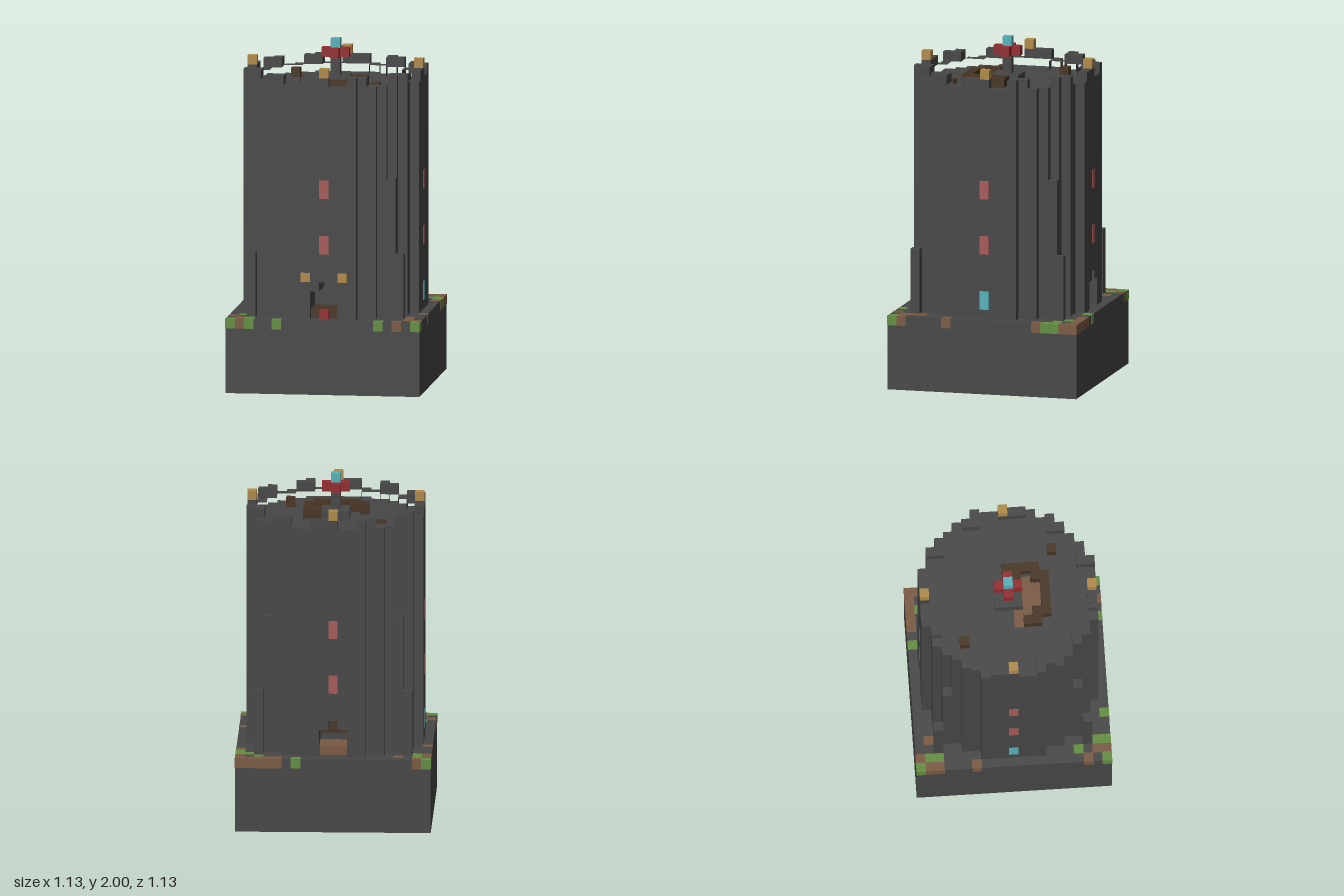
import * as THREE from 'three';

// Everything is laid out on a block grid: x, z in cells from the centre, y in layers from the ground.
const CELL = 0.0538, LAYER = 2 / 37;
const mat = (name, hex) => {
  const m = new THREE.MeshStandardMaterial({ color: hex });
  m.name = name;
  return m;
};

export function createModel() {
  const stone = mat('dark stone', 0x464646), gold = mat('lamp gold', 0xb08a48);
  const red = mat('deep red', 0x922a2e), cyan = mat('cyan crystal', 0x56b2ba);
  const pink = mat('window rose', 0xa65a58), plank = mat('light wood', 0x7a5a42);
  const darkWood = mat('dark wood', 0x463422), green = mat('moss green', 0x628e40);

  const model = new THREE.Group();
  model.name = 'tower';
  const grid = new THREE.Group();
  grid.name = 'blocks';
  grid.scale.set(CELL, LAYER, CELL);
  model.add(grid);

  const add = (name, geo, material) => {
    const mesh = new THREE.Mesh(geo, material);
    mesh.name = name;
    grid.add(mesh);
    return mesh;
  };
  // Box centred on (x, z), rising from layer y0 to y1
  const block = (name, m, x, z, y0, y1, w = 1, d = 1) =>
    add(name, new THREE.BoxGeometry(w, y1 - y0, d), m).position.set(x, (y0 + y1) / 2, z);

  // Stepped right-hand edge of a blocky disc
  const edge = (r) => {
    const pts = [], n = Math.floor(r);
    for (let k = -n; k <= n; k++) {
      const x = Math.floor(Math.sqrt(r * r - k * k)) + 0.5;
      pts.push([x, k - 0.5], [x, k + 0.5]);
    }
    return pts;
  };
  const mirror = (pts) => pts.map(([x, z]) => [-x, z]).reverse();
  const disc = (r) => [...edge(r), ...mirror(edge(r))];
  const toVec = (pts) => pts.map(([x, z]) => new THREE.Vector2(x, -z));
  const slab = (name, outline, y0, y1, hole) => {
    const shape = new THREE.Shape(toVec(outline));
    if (hole) shape.holes.push(new THREE.Path(toVec(hole)));
    const geo = new THREE.ExtrudeGeometry(shape, { depth: y1 - y0, bevelEnabled: false });
    add(name, geo.rotateX(-Math.PI / 2).translate(0, y0, 0), stone);
  };

  // Square base with coloured ground patches along its rim
  block('base', stone, 0, 0, 0, 8, 21, 21);
  const patches = [
    ['moss', green, [[-10, -10], [4, -10], [-9, -9], [8, -9], [-9, -8], [9, -8], [10, -8], [10, -7],
      [-9, 7], [-8, 9], [-10, 10], [-8, 10], [-5, 10], [6, 10], [10, 10]]],
    ['earth', plank, [[-9, -10], [6, -10], [7, -10], [8, -10], [9, -10], [10, -10], [-10, -9], [-7, -9],
      [10, -9], [-10, -8], [10, -6], [-10, -4], [10, 4], [9, 7], [-10, 8], [9, 8], [-9, 9], [9, 9],
      [10, 9], [-9, 10], [8, 10]]],
  ];
  for (const [name, m, cells] of patches)
    for (const [x, z] of cells) block(name, m, x, z, 6.98, 8.02, 1.04, 1.04);

  // Lower tower, split by the front and back doorways with a pointed top step
  for (const [x0, y0, y1] of [[1.5, 8, 11], [0.5, 11, 12]]) {
    const half = [...edge(9.5), [x0, 9.5], [x0, -9.5]];
    slab('lowerWallLeft', half, y0, y1);
    slab('lowerWallRight', mirror(half), y0, y1);
  }
  block('doorCore', stone, 0, 0, 8, 12, 3, 11);
  block('frontDoorStep', darkWood, 0, 7, 8, 9, 3, 3);
  block('doorCarpet', red, 0, 9, 8, 9);
  block('backDoorStep', plank, 0, -7, 8, 9, 3, 3);
  block('backDoorBeam', darkWood, 0, -6, 10, 11, 3, 1);

  // Upper tower, roof floor with stair opening, and parapet
  slab('upperTower', disc(9.5), 12, 31);
  const stairHole = [[-3.5, 0.5], [-1.5, 0.5], [-1.5, 1.5], [2.5, 1.5], [2.5, 2.5], [1.5, 2.5],
    [1.5, 3.5], [-1.5, 3.5], [-1.5, 2.5], [-2.5, 2.5], [-2.5, 1.5], [-3.5, 1.5]];
  slab('roofFloor', disc(9.5), 31, 32, stairHole);
  slab('parapet', disc(9.5), 32, 33, disc(8.5));
  block('stairLanding', plank, -0.5, 2, 30.5, 31.2, 6, 3);

  // Merlons fill every other 15 degree sector of the parapet
  for (let x = -9; x <= 9; x++)
    for (let z = -9; z <= 9; z++) {
      const r = Math.hypot(x, z);
      const sector = Math.floor(THREE.MathUtils.radToDeg(Math.atan2(z, x)) / 15 + 1e-6);
      if (r > 8.5 && r <= 9.5 && sector % 2 === 0) block('merlon', stone, x, z, 33, 34);
    }

  // Stepped buttresses on the diagonals
  for (const sx of [-1, 1])
    for (const sz of [-1, 1]) {
      block('tallButtress', stone, 7 * sx, 7 * sz, 8, 23);
      block('shortButtress', stone, 8 * sx, 8 * sz, 8, 15);
    }

  // Windows on all four sides, cyan ones on the flanks, torches on the parapet
  for (const [x, z] of [[0, 1], [0, -1], [1, 0], [-1, 0]]) {
    const w = x ? 0.1 : 1, d = z ? 0.1 : 1;
    for (const y of [15, 21]) block('window', pink, x * 9.5, z * 9.5, y, y + 2, w, d);
    if (x) block('crystalWindow', cyan, x * 9.5, 0, 9, 11, w, d);
    block('torch', gold, x * 9, z * 9, 34, 35);
  }
  for (const x of [-2, 2]) block('doorLamp', gold, x, 9.5, 12, 13, 1, 0.1);

  // Railing round the stair opening and two crates on the roof
  block('stairRail', darkWood, 2.5, 0.5, 32, 33, 2, 2);
  block('stairRail', darkWood, 3, 2.5, 32, 33, 1, 2);
  block('stairRail', darkWood, 2, 3, 32, 33);
  block('stairRail', darkWood, 0, 4, 32, 33, 5, 1);
  block('stairRail', darkWood, -2, 3, 32, 33);
  block('stairRail', darkWood, -3, 2.5, 32, 33, 1, 2);
  for (const s of [-1, 1]) block('crate', darkWood, 5 * s, 5 * s, 32, 33);

  // Central spire with a red cross and a crystal on top
  block('spirePlatform', stone, 0, 0, 32, 33, 3, 3);
  block('spirePillar', stone, 0, 0, 33, 35);
  block('spireCross', red, 0, 0, 35, 36, 3, 1);
  for (const z of [-1, 1]) block('spireCrossArm', red, 0, z, 35, 36);
  block('spireCrystal', cyan, 0, 0, 36, 37);

  return model;
}
